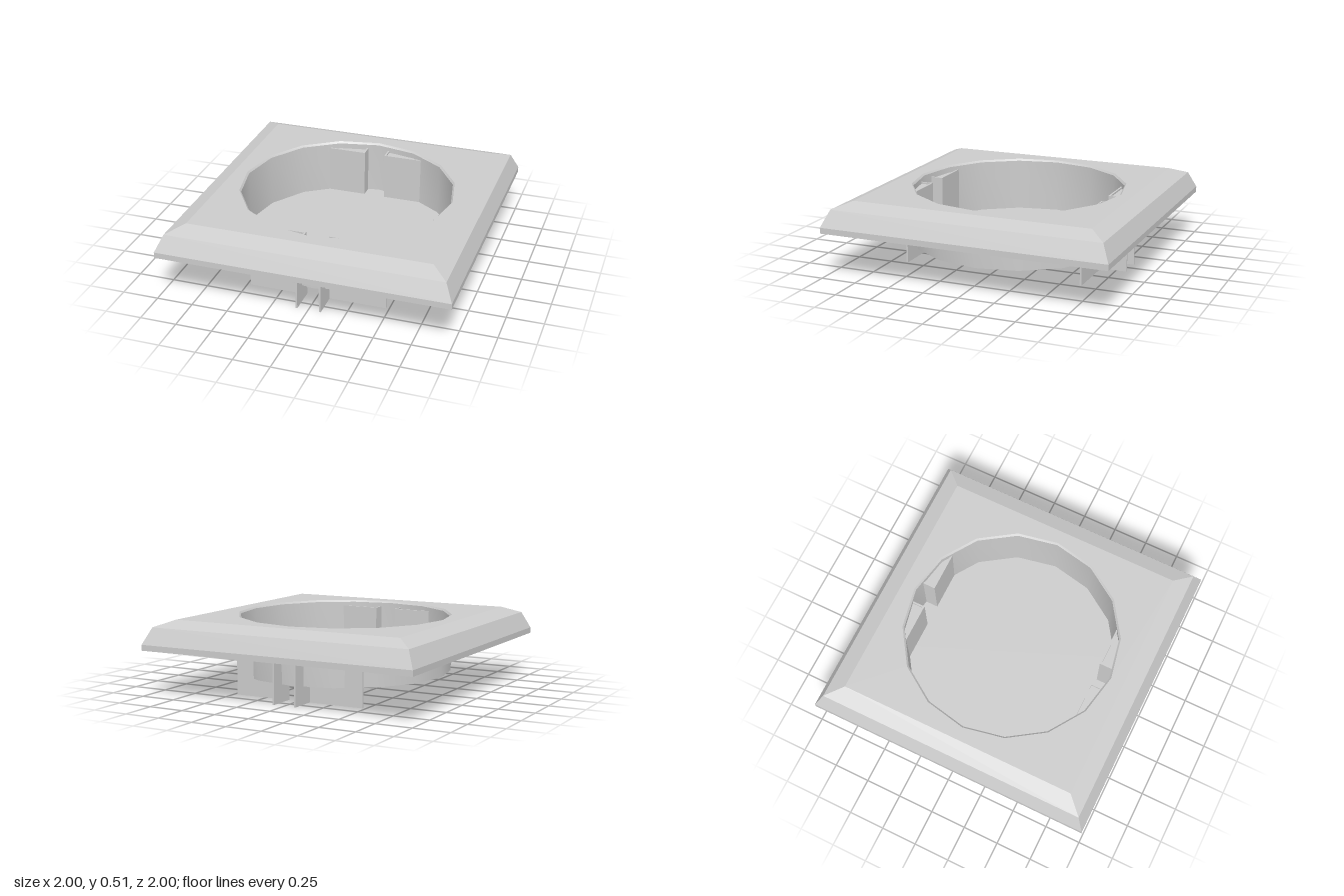
import * as THREE from 'three';
import { toCreasedNormals } from 'three/addons/utils/BufferGeometryUtils.js';

const grey = new THREE.MeshStandardMaterial({ color: 0xcccccc });
const SIDES = 16; // facets of the round recess
const T = 0.012;  // sheet thickness

function add(parent, name, geometry) {
  const mesh = new THREE.Mesh(geometry, grey);
  mesh.name = name;
  parent.add(mesh);
  return mesh;
}

const profile = (points) => points.map(([r, y]) => new THREE.Vector2(r, y));

// Box given by its minimum and maximum corners
function boxBetween([x0, y0, z0], [x1, y1, z1]) {
  return new THREE.BoxGeometry(x1 - x0, y1 - y0, z1 - z0)
    .translate((x0 + x1) / 2, (y0 + y1) / 2, (z0 + z1) / 2);
}

export function createModel() {
  const group = new THREE.Group();
  group.name = 'recessedCoverPlate';

  // Hollow bevelled square border: inner skin downwards, then outer skin upwards
  const border = profile([
    [0.83, 0.49], [0.935, 0.45], [0.985, 0.34], [0.985, 0.31],
    [1, 0.31], [1, 0.35], [0.947, 0.465], [0.835, 0.51],
  ]);
  border.forEach((p) => { p.x *= Math.SQRT2; });
  const borderGeometry = new THREE.LatheGeometry(border, 4).rotateY(Math.PI / 4);
  add(group, 'bevelledBorder', toCreasedNormals(borderGeometry, 0.1));

  // Flat top sheet with the faceted opening
  const h = 0.835;
  const sheet = new THREE.Shape([[-h, -h], [h, -h], [h, h], [-h, h]].map(([x, y]) => new THREE.Vector2(x, y)));
  const opening = [];
  for (let i = 0; i < SIDES; i++) {
    const a = (-i / SIDES) * Math.PI * 2;
    opening.push(new THREE.Vector2(0.745 * Math.cos(a), 0.745 * Math.sin(a)));
  }
  sheet.holes.push(new THREE.Path(opening));
  const sheetGeometry = new THREE.ExtrudeGeometry(sheet, { depth: 0.02, bevelEnabled: false });
  add(group, 'topSheet', sheetGeometry.rotateX(-Math.PI / 2).translate(0, 0.49, 0));

  // Shallow dish with a chamfered rim and closed floor
  const dish = profile([
    [0, 0.12], [0.74, 0.12], [0.745, 0.51], [0.733, 0.497], [0.731, 0.132], [0, 0.132],
  ]);
  add(group, 'dish', toCreasedNormals(new THREE.LatheGeometry(dish, SIDES), 0.6));

  // Four clip pockets crossing the dish wall, open downwards
  for (const sx of [-1, 1]) {
    for (const sz of [-1, 1]) {
      const pocket = new THREE.Group();
      pocket.name = `${sz > 0 ? 'front' : 'back'}${sx > 0 ? 'Left' : 'Right'}ClipPocket`;
      const mirrored = (x0, y0, z0, x1, y1, z1) => boxBetween(
        [Math.min(sx * x0, sx * x1), y0, Math.min(sz * z0, sz * z1)],
        [Math.max(sx * x0, sx * x1), y1, Math.max(sz * z0, sz * z1)],
      );
      add(pocket, 'pocketFace', mirrored(0.075, 0, 0.63, 0.477, 0.47, 0.63 + T));
      add(pocket, 'pocketSide', mirrored(0.075, 0, 0.63 + T, 0.075 + T, 0.47, 0.823));
      add(pocket, 'pocketTop', mirrored(0.075 + T, 0.445, 0.63 + T, 0.477, 0.458, 0.823));
      group.add(pocket);
    }
  }
  return group;
}
